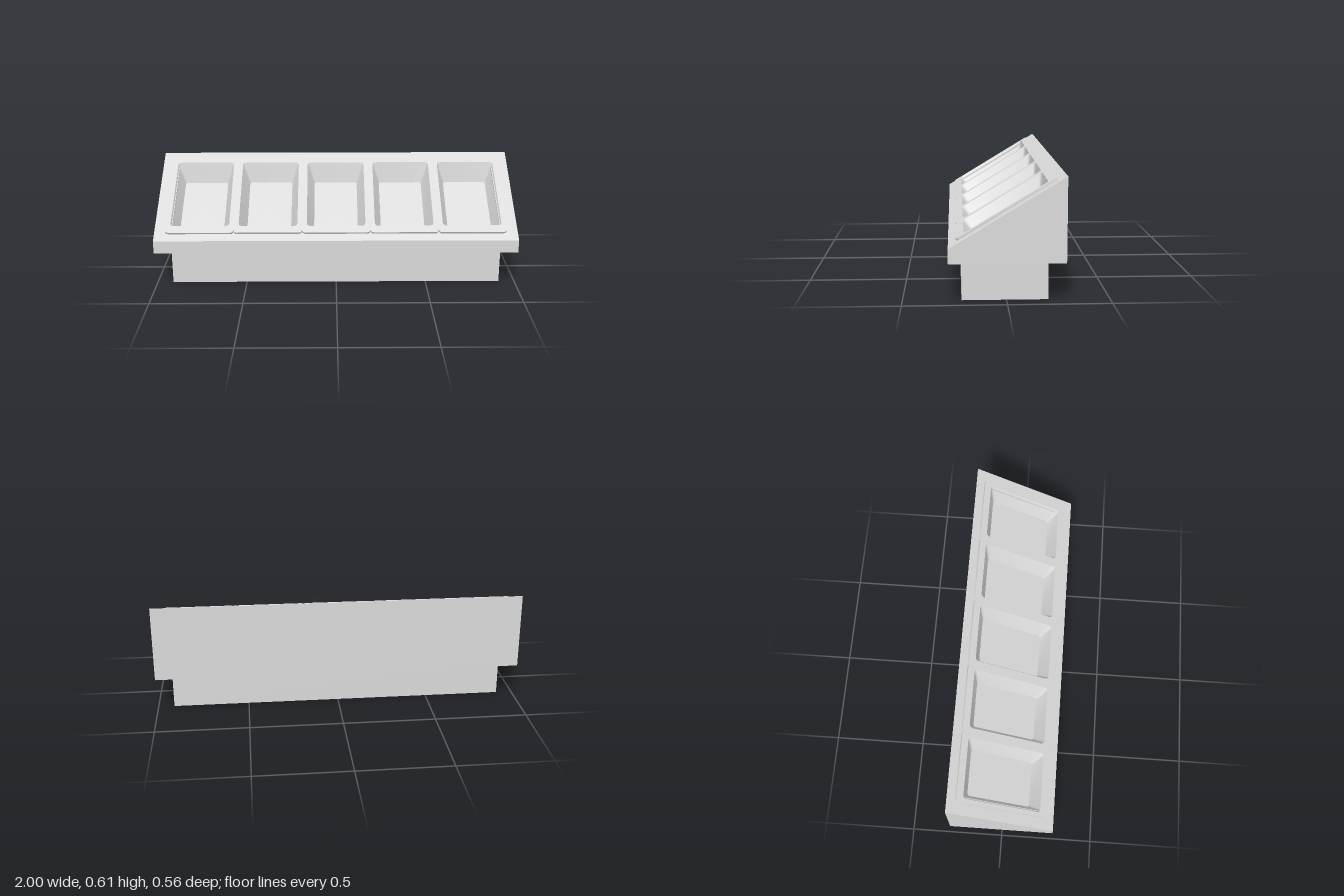
import * as THREE from 'three';
import { toCreasedNormals } from 'three/addons/utils/BufferGeometryUtils.js';

const PANS = 5, PITCH = 0.376;
const SLOPE = Math.atan2(0.34, 0.56);
const SLOPE_LENGTH = Math.hypot(0.34, 0.56);
const SILL = 0.198;

// Rounded rectangle outline, counter-clockwise
function roundedPoints(x0, x1, y0, y1, r, steps = 3) {
  const corners = [[x1 - r, y0 + r, -1], [x1 - r, y1 - r, 0], [x0 + r, y1 - r, 1], [x0 + r, y0 + r, 2]];
  const pts = [];
  for (const [cx, cy, q] of corners) {
    for (let i = 0; i <= steps; i++) {
      const a = (q + i / steps) * Math.PI / 2;
      pts.push(new THREE.Vector2(cx + r * Math.cos(a), cy + r * Math.sin(a)));
    }
  }
  return pts;
}

function rectShape(x0, x1, y0, y1) {
  return new THREE.Shape([[x0, y0], [x1, y0], [x1, y1], [x0, y1]].map(p => new THREE.Vector2(...p)));
}

// Open-topped basin from [halfWidth, low, high, cornerRadius, z] at the rim and the floor
function basinGeometry(rim, floor) {
  const rings = [rim, floor].map(([hx, s0, s1, r, z]) =>
    roundedPoints(-hx, hx, s0, s1, r).map(p => [p.x, p.y, z]));
  const n = rings[0].length, centre = 2 * n;
  const pos = [...rings.flat(2), 0, (floor[1] + floor[2]) / 2, floor[4]];
  const idx = [];
  for (let i = 0; i < n; i++) {
    const j = (i + 1) % n;
    idx.push(i, j, n + i, j, n + j, n + i, centre, n + i, n + j);
  }
  const g = new THREE.BufferGeometry();
  g.setAttribute('position', new THREE.Float32BufferAttribute(pos, 3));
  g.setIndex(idx);
  return toCreasedNormals(g, 0.6);
}

export function createModel() {
  const model = new THREE.Group();
  model.name = 'slopedPanStation';
  const metal = new THREE.MeshStandardMaterial({ color: 0xd9d9d9, side: THREE.DoubleSide });
  metal.name = 'light grey metal';

  const add = (parent, name, geometry, x = 0, y = 0, z = 0) => {
    const mesh = new THREE.Mesh(geometry, metal);
    mesh.name = name;
    mesh.position.set(x, y, z);
    parent.add(mesh);
  };
  const group = name => {
    const g = new THREE.Group();
    g.name = name;
    model.add(g);
    return g;
  };

  // Open-bottomed base skirt
  const base = group('base');
  const bw = 1.826, bd = 0.419, bz = 0.0075;
  for (const side of [1, -1]) {
    add(base, side > 0 ? 'baseFront' : 'baseBack',
      new THREE.PlaneGeometry(bw, SILL).rotateY(side > 0 ? 0 : Math.PI), 0, SILL / 2, bz + side * bd / 2);
    add(base, side > 0 ? 'baseLeft' : 'baseRight',
      new THREE.PlaneGeometry(bd, SILL).rotateY(side * Math.PI / 2), side * bw / 2, SILL / 2, bz);
  }

  // Hollow wedge housing
  const housing = group('housing');
  add(housing, 'housingFront', new THREE.PlaneGeometry(2, 0.27 - SILL), 0, (0.27 + SILL) / 2, 0.28);
  add(housing, 'housingBack',
    new THREE.PlaneGeometry(2, 0.61 - SILL).rotateY(Math.PI), 0, (0.61 + SILL) / 2, -0.28);
  for (const side of [1, -1]) {
    const profile = [[0.28, SILL], [0.28, 0.27], [-0.28, 0.61], [-0.28, SILL]];
    const shape = new THREE.Shape(profile.map(([z, y]) => new THREE.Vector2(-side * z, y)));
    add(housing, side > 0 ? 'housingLeft' : 'housingRight',
      new THREE.ShapeGeometry(shape).rotateY(side * Math.PI / 2), side);
  }
  const under = rectShape(-1, 1, -0.28, 0.28);
  under.holes.push(rectShape(-bw / 2, bw / 2, bz - bd / 2, bz + bd / 2));
  add(housing, 'underside', new THREE.ShapeGeometry(under).rotateX(Math.PI / 2), 0, SILL, 0);

  // Sloped deck: local y runs up the slope, local z points out of it
  const deck = group('deck');
  deck.position.y = 0.44;
  deck.rotation.x = SLOPE - Math.PI / 2;
  const top = rectShape(-1, 1, -SLOPE_LENGTH / 2, SLOPE_LENGTH / 2);
  top.holes.push(rectShape(-0.905, 0.905, -0.25, 0.25));
  add(deck, 'deckPanel', new THREE.ShapeGeometry(top));

  // Tray that encloses the pans below the deck
  add(deck, 'panTray', basinGeometry(
    [0.905, -0.25, 0.25, 0.001, 0], [0.905, -0.25, 0.25, 0.001, -0.087]));

  // Five pans with raised rims
  const rimShape = new THREE.Shape(roundedPoints(-PITCH / 2, PITCH / 2, -0.279, 0.277, 0.018));
  rimShape.holes.push(new THREE.Path(roundedPoints(-0.162, 0.162, -0.232, 0.238, 0.018)));
  const rim = toCreasedNormals(
    new THREE.ExtrudeGeometry(rimShape, { depth: 0.012, bevelEnabled: false }), 0.6);
  const pan = basinGeometry(
    [0.162, -0.232, 0.238, 0.018, 0.012], [0.123, -0.217, 0.166, 0.012, -0.084]);
  for (let i = 0; i < PANS; i++) {
    const x = (i - (PANS - 1) / 2) * PITCH;
    add(deck, 'panRim', rim, x);
    add(deck, 'pan', pan, x);
  }
  return model;
}
